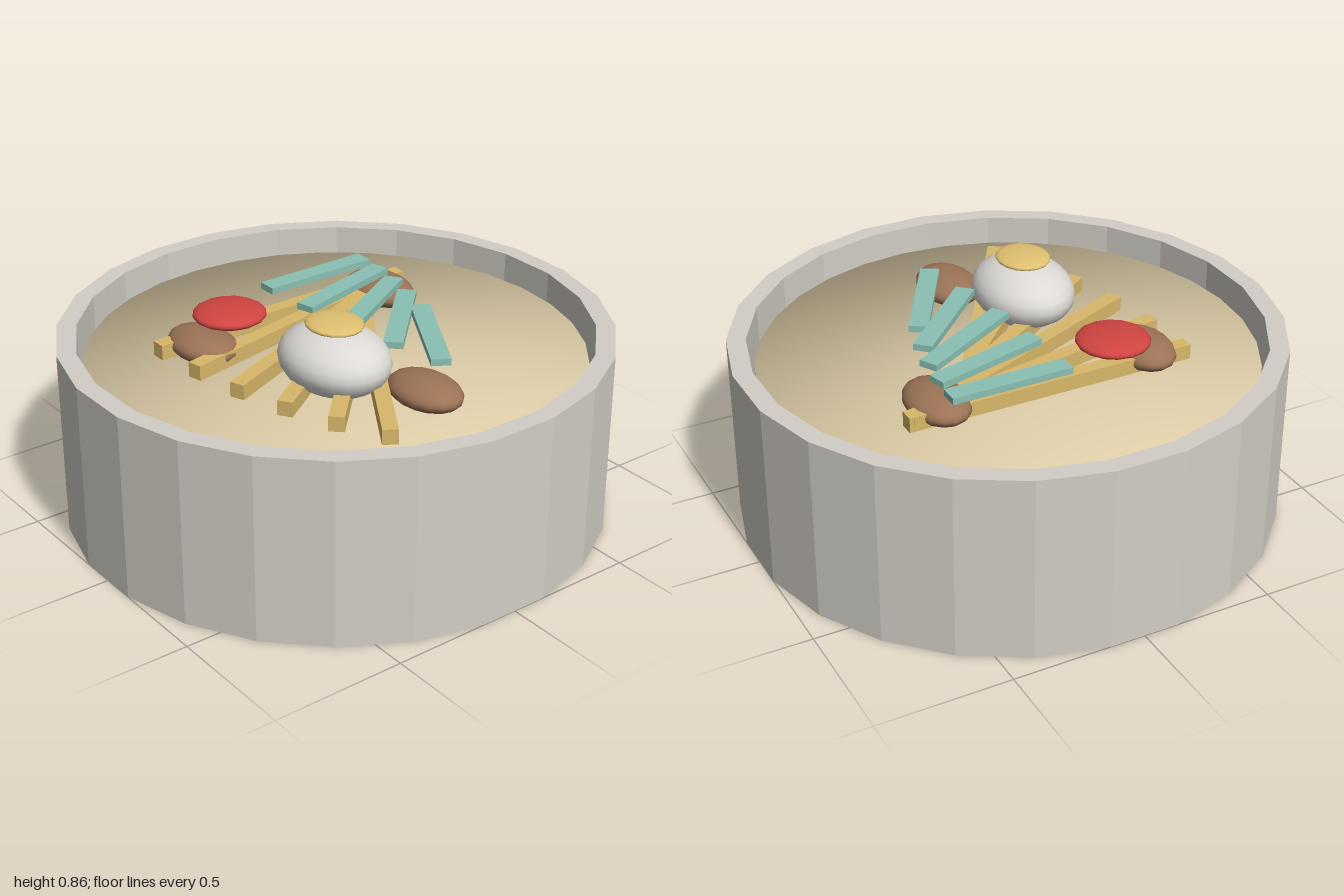
import * as THREE from 'three';

const paint = (name, color) => {
  const m = new THREE.MeshStandardMaterial({ color });
  m.name = name;
  return m;
};

export function createModel() {
  const stone = paint('warm grey', 0xd2cec6);
  const broth = paint('broth tan', 0xdccba6);
  const noodle = paint('noodle yellow', 0xd8b76a);
  const teal = paint('teal green', 0x8ac0b4);
  const brown = paint('mushroom brown', 0x9c7355);
  const red = paint('red', 0xd04541);
  const white = paint('egg white', 0xdddad6);
  const yolk = paint('yolk yellow', 0xe0c070);

  const model = new THREE.Group();
  model.name = 'noodleBowl';

  const add = (name, geometry, material, x, y, z, turn = 0) => {
    const mesh = new THREE.Mesh(geometry, material);
    mesh.name = name;
    mesh.position.set(x, y, z);
    mesh.rotation.y = turn;
    model.add(mesh);
    return mesh;
  };

  // Squashed sphere for the rounded toppings
  const blob = (name, material, [x, y, z], [rx, ry, rz], sides = 16) =>
    add(name, new THREE.SphereGeometry(1, sides, 12).scale(rx, ry, rz), material, x, y, z);

  // Short round slab whose normals blend softly from the caps to the rim
  const softSlab = (name, material, rTop, rBottom, y0, y1) => {
    const g = new THREE.CylinderGeometry(rTop, rBottom, y1 - y0, 32);
    const p = g.attributes.position;
    for (let i = 0; i < p.count; i++) {
      const up = Math.sign(p.getY(i));
      const r = (up > 0 ? rTop : rBottom) * Math.SQRT2;
      g.attributes.normal.setXYZ(i, p.getX(i) / r, up * Math.SQRT1_2, p.getZ(i) / r);
    }
    return add(name, g, material, 0, (y0 + y1) / 2, 0);
  };

  // Faceted outer wall: square section turned in 24 flat panels
  const apothem = Math.cos(Math.PI / 24);
  const ro = 1 / apothem, ri = 0.93 / apothem;
  const section = [[ri, 0], [ro, 0], [ro, 0.7], [ri, 0.7], [ri, 0]].map(([x, y]) => new THREE.Vector2(x, y));
  const wall = new THREE.LatheGeometry(section, 24, Math.PI / 24).toNonIndexed();
  wall.computeVertexNormals();
  add('bowlWall', wall, stone, 0, 0, 0);

  // Inner bowl and the broth on it
  softSlab('bowlBase', stone, 0.89, 0.83, 0.02, 0.56);
  softSlab('broth', broth, 0.915, 0.915, 0.56, 0.6);

  // Fan of noodles
  for (let i = 0; i < 6; i++)
    add('noodle', new THREE.BoxGeometry(0.056, 0.056, 1.11), noodle, -0.325 + i * 0.109, 0.635, 0, i * 0.2);

  // Fan of green strips
  for (let i = 0; i < 5; i++)
    add('greenStrip', new THREE.BoxGeometry(0.072, 0.025, 0.46), teal, -0.375 + i * 0.169, 0.7225, -0.19, i * 0.26);

  // Mushrooms
  for (const [x, z] of [[-0.26, -0.41], [0.51, 0.005], [-0.26, 0.405]])
    blob('mushroom', brown, [x, 0.645, z], [0.16, 0.055, 0.112]);

  // Red slice and egg
  blob('redSlice', red, [-0.28, 0.721, 0.273], [0.136, 0.034, 0.136]);
  blob('eggWhite', white, [0.23, 0.713, 0.182], [0.229, 0.12, 0.183], 24);
  blob('eggYolk', yolk, [0.23, 0.843, 0.182], [0.113, 0.021, 0.1]);

  return model;
}
